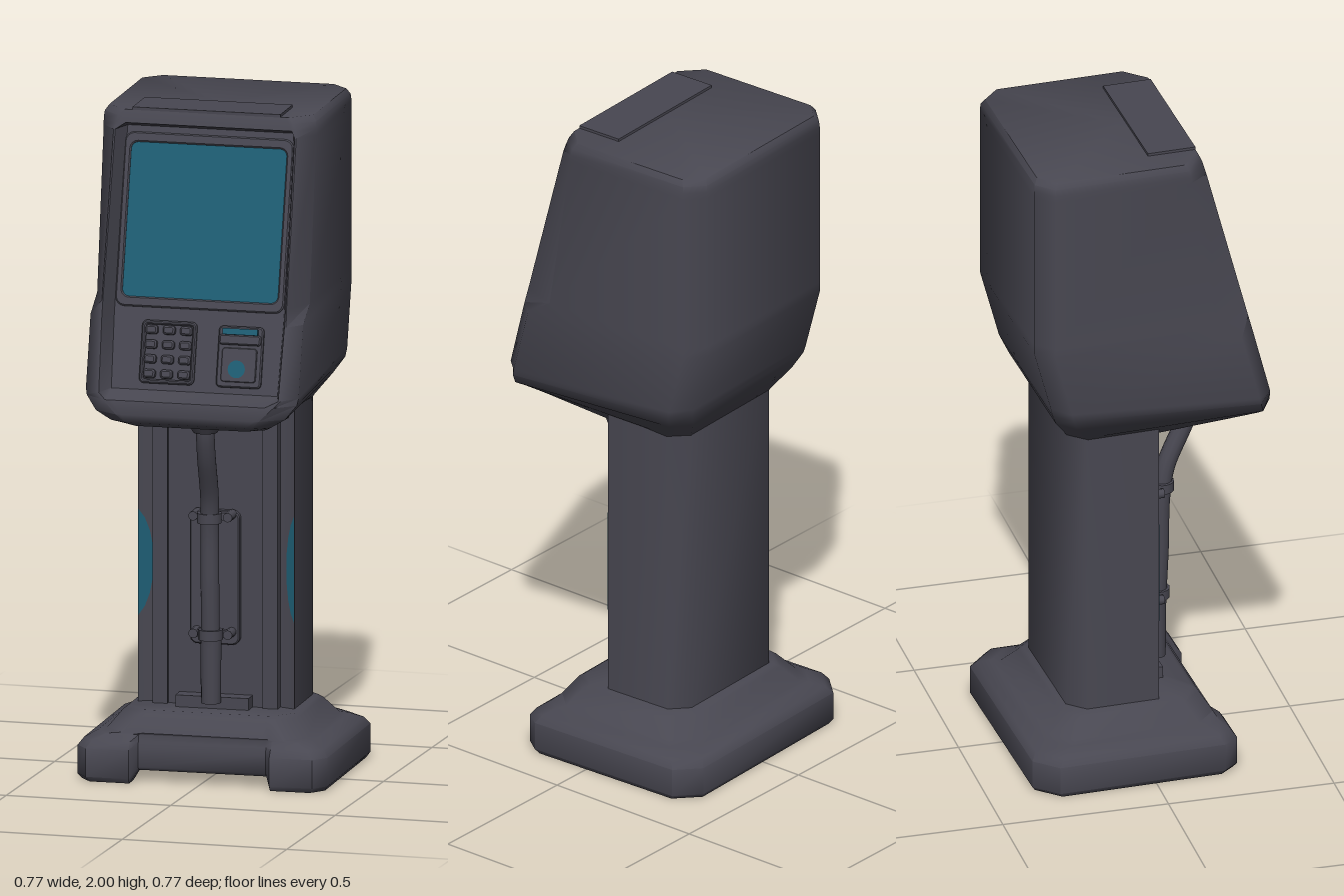
import * as THREE from 'three';
import { toCreasedNormals } from 'three/addons/utils/BufferGeometryUtils.js';

const grey = new THREE.MeshStandardMaterial({ color: 0x484751 });
grey.name = 'charcoalBody';
const teal = new THREE.MeshStandardMaterial({ color: 0x1e5d73, side: THREE.DoubleSide });
teal.name = 'tealGlass';

function add(parent, name, geo, mat, x = 0, y = 0, z = 0) {
  const m = new THREE.Mesh(geo, mat);
  m.name = name;
  m.position.set(x, y, z);
  parent.add(m);
  return m;
}

// Chamfered rectangular loop, counter-clockwise from above; y runs from yb (back) to yf (front).
// notch = [halfWidth, depth, lift] dents the middle of the front edge.
function ring(hw, zf, zb, yf, { yb = yf, cx = 0.05, cz = cx, cb = 0.05, notch } = {}) {
  const half = [[hw - cx, zf], [hw, zf - cz], [hw, zb + cb], [hw - cb, zb]];
  const pts = half.map(([x, z]) => [x, yb + (yf - yb) * (z - zb) / (zf - zb), z]);
  if (notch) {
    const [w, d, lift] = notch;
    pts.unshift([w - 0.02, yf + lift, zf - d], [w, yf, zf]);
  }
  return [...pts, ...pts.slice().reverse().map(([x, y, z]) => [-x, y, z])];
}

// Skin stacked loops from bottom to top and cap both ends
function loft(loops, crease = 0.6) {
  const v = [];
  const n = loops[0].length;
  const mid = (l) => [0, 1, 2].map((k) => l.reduce((s, p) => s + p[k], 0) / n);
  const first = loops[0], last = loops[loops.length - 1];
  const c0 = mid(first), c1 = mid(last);
  for (let j = 0; j < n; j++) {
    const k = (j + 1) % n;
    v.push(...c0, ...first[k], ...first[j], ...c1, ...last[j], ...last[k]);
    for (let i = 0; i + 1 < loops.length; i++) {
      const a = loops[i], b = loops[i + 1];
      v.push(...a[j], ...a[k], ...b[k], ...a[j], ...b[k], ...b[j]);
    }
  }
  const g = new THREE.BufferGeometry();
  g.setAttribute('position', new THREE.Float32BufferAttribute(v, 3));
  return toCreasedNormals(g, crease);
}

// Rounded rectangle outline centred on (cx, cy)
function rounded(T, w, h, r, cx = 0, cy = 0) {
  const s = new T();
  const x = w / 2 - r, y = h / 2 - r;
  s.absarc(cx + x, cy + y, r, 0, Math.PI / 2);
  s.absarc(cx - x, cy + y, r, Math.PI / 2, Math.PI);
  s.absarc(cx - x, cy - y, r, Math.PI, Math.PI * 1.5);
  s.absarc(cx + x, cy - y, r, Math.PI * 1.5, Math.PI * 2);
  s.closePath();
  return s;
}

// Bevelled plate of total thickness t standing on z = 0
function plate(w, h, r, t, hole, bevel = 0.004) {
  const s = rounded(THREE.Shape, w - 2 * bevel, h - 2 * bevel, r);
  if (hole) s.holes.push(rounded(THREE.Path, ...hole));
  return new THREE.ExtrudeGeometry(s, {
    depth: t - bevel, bevelThickness: bevel, bevelSize: bevel, bevelSegments: 1, curveSegments: 4,
  });
}

function buildBase(root) {
  const base = new THREE.Group();
  base.name = 'base';
  root.add(base);
  const foot = (d, lift) => ({ cx: 0.035, cz: 0.045, cb: 0.065, notch: [0.212, d, lift] });
  const plinth = (w) => ({ cx: 0.06, cb: 0.06, notch: [w, 0, 0] });
  // Hollow base: cavity ceiling, down to the rim, then up the outside to the plinth top
  add(base, 'footAndPlinth', loft([
    ring(0.225, 0.125, -0.225, 0.185, plinth(0.15)),
    ring(0.27, 0.15, -0.27, 0.125, plinth(0.19)),
    ring(0.305, 0.17, -0.31, 0.01, foot(0.01, 0.035)),
    ring(0.315, 0.18, -0.32, 0, foot(0.01, 0.035)),
    ring(0.366, 0.23, -0.365, 0, foot(0.035, 0.035)),
    ring(0.376, 0.24, -0.375, 0.015, foot(0.035, 0.03)),
    ring(0.376, 0.24, -0.375, 0.1, foot(0.035, 0)),
    ring(0.36, 0.225, -0.36, 0.122, foot(0.025, 0)),
    ring(0.325, 0.2, -0.325, 0.14, foot(0.005, 0)),
    ring(0.302, 0.197, -0.302, 0.145, plinth(0.2)),
    ring(0.262, 0.165, -0.262, 0.195, plinth(0.18)),
    ring(0.25, 0.15, -0.25, 0.205, plinth(0.17)),
  ], 0.82), grey);
  add(base, 'undersideKnob', new THREE.CylinderGeometry(0.03, 0.03, 0.05, 16), grey, 0, 0.17, 0.08);
  add(base, 'cableSocket', new THREE.BoxGeometry(0.22, 0.05, 0.05), grey, 0, 0.215, 0.06);
}

function buildColumn(root) {
  const column = new THREE.Group();
  column.name = 'column';
  root.add(column);
  // The front corners rise outwards to shallow ridges
  const c = { cx: 0.045, cz: -0.018, cb: 0.05 };
  add(column, 'post', loft([ring(0.235, 0.016, -0.235, 0.195, c), ring(0.235, 0.016, -0.235, 1.14, c)], 0.9), grey);
  add(column, 'channelFloor', new THREE.BoxGeometry(0.3, 0.88, 0.02), grey, 0, 0.64, 0.025);
  // Borders of the front channel, and the lights on the inner slopes of the ridges
  for (const [s, bulge] of [[-1, 0.062], [1, 0.038]]) {
    add(column, 'channelBorder', new THREE.BoxGeometry(0.045, 0.88, 0.035), grey, s * 0.166, 0.64, 0.031);
    const lens = new THREE.Shape();
    lens.moveTo(0, -0.16);
    lens.bezierCurveTo(bulge, -0.1, bulge, 0.1, 0, 0.16);
    const light = add(column, 'sideLight', new THREE.ShapeGeometry(lens, 8), teal, s * 0.235, 0.62, 0.0358);
    light.rotation.y = s > 0 ? Math.PI - 0.38 : 0.38;
  }
  add(column, 'bracketPlate', plate(0.15, 0.4, 0.02, 0.025), grey, 0, 0.59, 0.03);

  // Hanging cable with its end sleeve and two clamps
  const path = [[0.012, 1.1, 0.212], [0.012, 1.05, 0.21], [0.01, 0.98, 0.19], [0.004, 0.84, 0.128],
    [0, 0.74, 0.112], [0, 0.58, 0.108], [0, 0.4, 0.1], [0, 0.24, 0.095]];
  const curve = new THREE.CatmullRomCurve3(path.map((p) => new THREE.Vector3(...p)));
  add(column, 'cable', new THREE.TubeGeometry(curve, 40, 0.028, 12), grey);
  add(column, 'cableSleeve', new THREE.CylinderGeometry(0.031, 0.029, 0.2, 14), grey, 0, 0.325, 0.097);
  for (const [y, z] of [[0.78, 0.115], [0.43, 0.102]]) {
    add(column, 'clampCollar', new THREE.CylinderGeometry(0.036, 0.036, 0.03, 14), grey, 0, y, z);
    add(column, 'clampBar', new THREE.BoxGeometry(0.11, 0.022, 0.022), grey, 0, y, 0.08);
    for (const s of [-1, 1]) {
      const bolt = add(column, 'clampBolt', new THREE.CylinderGeometry(0.014, 0.014, 0.06, 10), grey, s * 0.052, y, 0.075);
      bolt.rotation.x = Math.PI / 2;
    }
  }
}

function buildHead(root) {
  const head = new THREE.Group();
  head.name = 'head';
  root.add(head);
  const slope = 0.261;
  const recess = 0.07;
  const zf = (y) => 0.377 - (y - 1.13) * slope;
  // Housing with a sunken front between chin, side rims and top lip; the rims are shaved above y 1.4
  add(head, 'housing', loft([
    ring(0.215, 0.335, -0.215, 1.09, { yb: 1.055, notch: [0.15, 0, 0] }),
    ring(0.24, 0.365, -0.238, 1.105, { yb: 1.1, cx: 0.05, cz: 0.03, notch: [0.17, 0, 0] }),
    ring(0.285, zf(1.13), -0.28, 1.13, { yb: 1.16, cx: 0.07, cz: 0.04, notch: [0.2, 0, 0] }),
    ring(0.316, zf(1.17), -0.3, 1.17, { yb: 1.205, cx: 0.06, cz: 0.045, notch: [0.25, 0, 0] }),
    ring(0.32, zf(1.19), -0.306, 1.19, { yb: 1.23, cx: 0.045, cz: 0.045, notch: [0.27, recess, 0] }),
    ring(0.32, zf(1.4), -0.357, 1.4, { yb: 1.42, cx: 0.04, cz: 0.045, notch: [0.275, recess, 0] }),
    ring(0.32, zf(1.45), -0.357, 1.45, { cx: 0.042, cz: 0.11, notch: [0.275, recess, 0] }),
    ring(0.32, zf(1.935), -0.357, 1.935, { cx: 0.045, cz: 0.06, notch: [0.27, recess, 0] }),
    ring(0.32, zf(1.955), -0.357, 1.955, { cx: 0.05, cz: 0.055, notch: [0.26, 0, 0] }),
    ring(0.318, zf(1.975), -0.355, 1.975, { cx: 0.055, cz: 0.055, notch: [0.25, 0, 0] }),
    ring(0.307, zf(1.98) - 0.006, -0.345, 1.992, { cx: 0.06, cz: 0.06, notch: [0.24, 0, 0] }),
  ], 0.9), grey);
  add(head, 'topCover', new THREE.BoxGeometry(0.445, 0.014, 0.145), grey, 0, 1.993, 0.077);
  add(head, 'cableOutlet', new THREE.CylinderGeometry(0.06, 0.036, 0.04, 16), grey, 0.012, 1.075, 0.208);

  // Sloping front panel; its own y runs up the face
  const face = new THREE.Group();
  face.name = 'frontPanel';
  face.position.set(0, 1.13, 0.377 - recess);
  face.rotation.x = -Math.atan(slope);
  head.add(face);
  const v = (y) => (y - 1.13) * Math.hypot(1, slope);
  add(face, 'screen', new THREE.ShapeGeometry(rounded(THREE.Shape, 0.48, 0.463, 0.025)), teal, 0, v(1.67), 0.003);
  add(face, 'screenFrame', plate(0.508, 0.51, 0.025, 0.008, [0.476, 0.459, 0.025]), grey, 0, v(1.67), 0);

  // Keypad
  add(face, 'keypadTray', plate(0.165, 0.185, 0.012, 0.01, [0.148, 0.168, 0.008]), grey, -0.085, v(1.298), 0);
  for (let r = 0; r < 4; r++) {
    for (let k = 0; k < 3; k++) {
      add(face, 'key', plate(0.036, 0.026, 0.004, 0.018, null, 0.005), grey, -0.137 + k * 0.052, v(1.236 + r * 0.0415), 0);
    }
  }

  // Card and fingerprint reader, the slot tongue showing from above
  add(face, 'readerBody', plate(0.135, 0.18, 0.01, 0.012), grey, 0.132, v(1.295), 0);
  add(face, 'readerHood', plate(0.125, 0.03, 0.004, 0.012), grey, 0.132, v(1.343), 0.01);
  add(face, 'readerSlot', new THREE.BoxGeometry(0.105, 0.018, 0.026), teal, 0.132, v(1.366), 0.013);
  add(face, 'readerPad', plate(0.105, 0.1, 0.008, 0.006, null, 0.002), grey, 0.132, v(1.272), 0.011);
  add(face, 'fingerSensor', new THREE.CircleGeometry(0.026, 20), teal, 0.126, v(1.26), 0.0185);
}

export function createModel() {
  const root = new THREE.Group();
  root.name = 'kiosk';
  // The kiosk stands turned very slightly
  const body = new THREE.Group();
  body.name = 'kioskBody';
  body.rotation.y = 0.036;
  root.add(body);
  buildBase(body);
  buildColumn(body);
  buildHead(body);
  return root;
}
